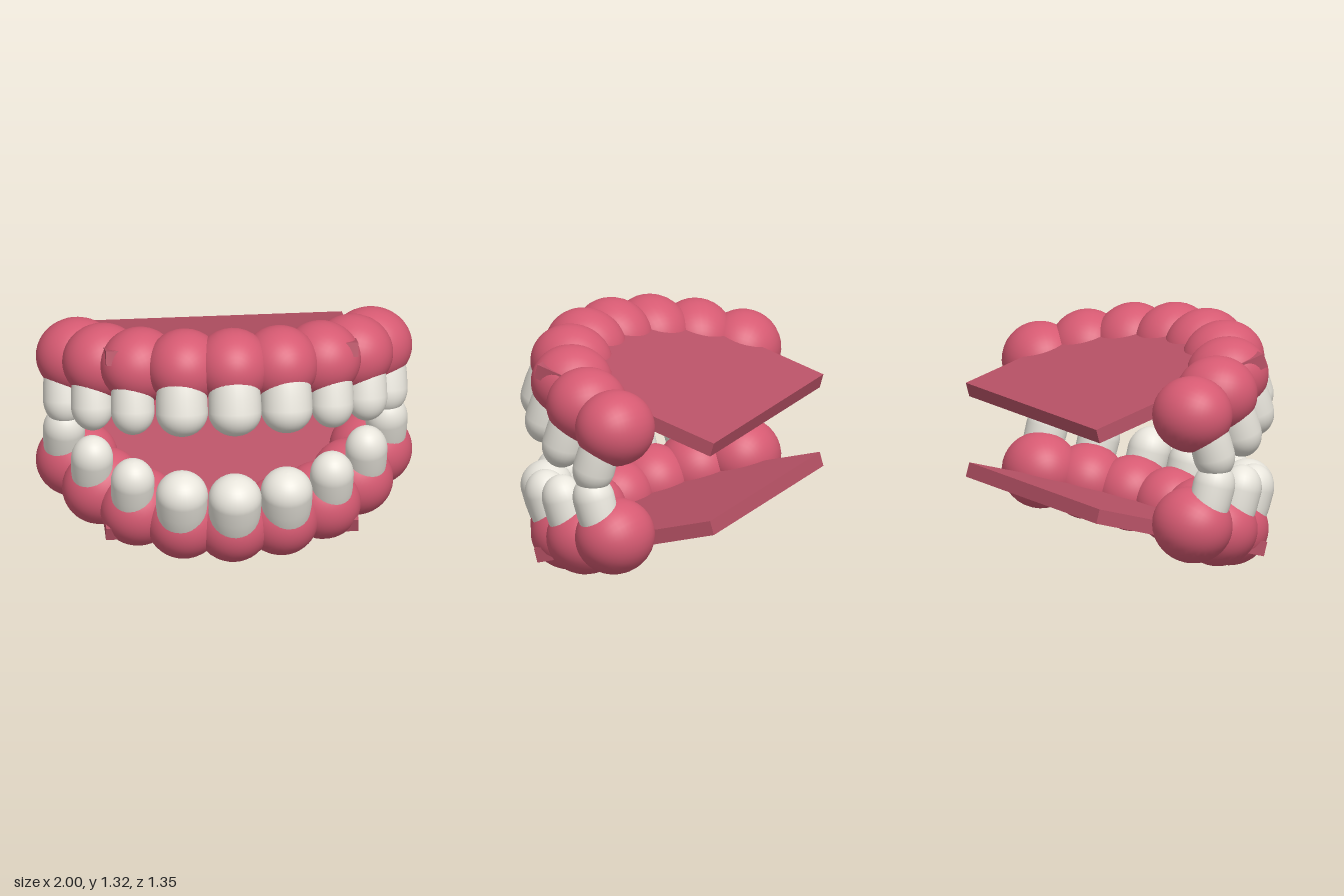
import * as THREE from 'three';

const TILT = 0.278;             // how far each jaw opens
const STEP = Math.PI / 10;      // angle between neighbouring teeth
const GUM_RING = 0.82, TOOTH_RING = 0.9;
const TOOTH_RADII = [0.142, 0.138, 0.116, 0.112, 0.112]; // middle tooth to back tooth

const gumMaterial = new THREE.MeshStandardMaterial({ color: 0xd65a72 });
const plateMaterial = new THREE.MeshStandardMaterial({ color: 0xb85266 });
const toothMaterial = new THREE.MeshStandardMaterial({ color: 0xe8e5dc });

// Rounded lobe with its poles facing in and out of the arch
const gumGeometry = new THREE.SphereGeometry(1, 32, 24).rotateX(Math.PI / 2).scale(0.205, 0.203, 0.22);

// Domed crown hanging down from a slightly narrower root
function toothGeometry(r) {
  const points = [];
  const tip = -0.362, dome = 0.13;
  for (let i = 0; i <= 10; i++) {
    const t = (i / 10) * Math.PI / 2;
    points.push(new THREE.Vector2(r * Math.sin(t), tip + dome * (1 - Math.cos(t))));
  }
  points.push(new THREE.Vector2(r * 0.98, -0.15));
  points.push(new THREE.Vector2(r * 0.92, -0.08));
  points.push(new THREE.Vector2(r * 0.8, 0));
  points.push(new THREE.Vector2(0, 0.02));
  return new THREE.LatheGeometry(points, 28);
}

function addMesh(parent, name, geometry, material) {
  const mesh = new THREE.Mesh(geometry, material);
  mesh.name = name;
  parent.add(mesh);
  return mesh;
}

// One arch of gum lobes and teeth, with its flat plate
function createJaw(name) {
  const jaw = new THREE.Group();
  const arch = new THREE.Group();
  jaw.name = name;
  arch.name = name + 'Arch';
  arch.position.set(0, 0.895, -0.388);
  arch.rotation.x = -TILT;
  jaw.add(arch);

  const teeth = TOOTH_RADII.map(toothGeometry);
  for (let i = -4; i <= 4; i++) {
    const a = i * STEP;
    const gum = addMesh(arch, 'gum', gumGeometry, gumMaterial);
    gum.position.set(GUM_RING * Math.sin(a), 0, GUM_RING * Math.cos(a));
    gum.rotation.y = a;
    const tooth = addMesh(arch, 'tooth', teeth[Math.abs(i)], toothMaterial);
    tooth.position.set(TOOTH_RING * Math.sin(a), 0, TOOTH_RING * Math.cos(a));
    tooth.rotation.y = a;
  }

  const plate = addMesh(arch, 'plate', new THREE.BoxGeometry(1.34, 0.078, 1.076), plateMaterial);
  plate.position.set(0, 0.062, 0.272);
  return jaw;
}

export function createModel() {
  const model = new THREE.Group();
  model.name = 'dentures';
  model.add(createJaw('upperJaw'));

  // The lower jaw is the upper one turned over
  const lower = createJaw('lowerJaw');
  lower.rotation.z = Math.PI;
  lower.position.y = 1.33;
  model.add(lower);
  return model;
}
